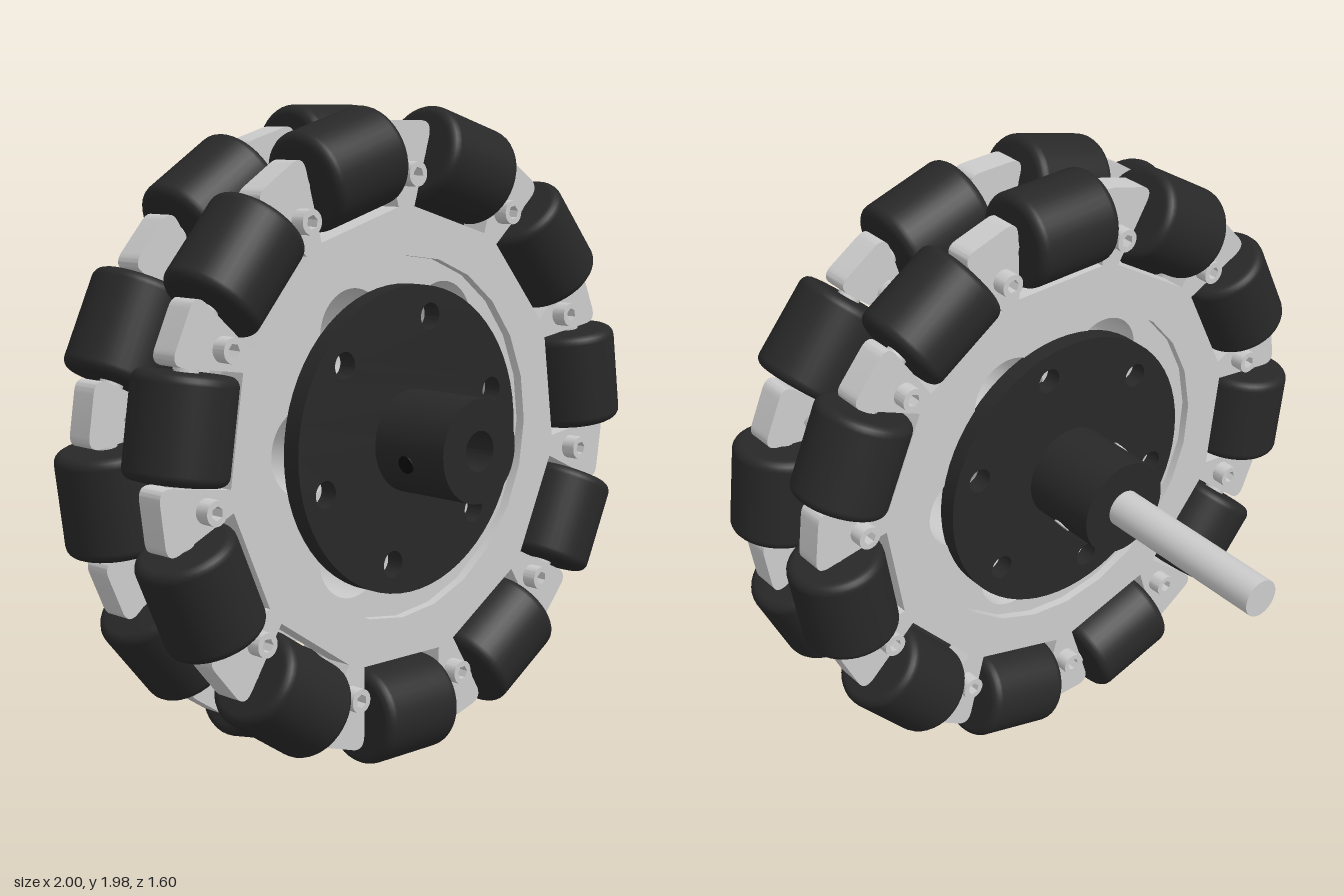
import * as THREE from 'three';
import { toCreasedNormals } from 'three/addons/utils/BufferGeometryUtils.js';

const COUNT = 11, STEP = (Math.PI * 2) / COUNT, HALF = STEP / 2;
const ROLLER_R = 0.15, ROLLER_ORBIT = 0.842, AXIS_Y = 0.992;
const grey = new THREE.MeshStandardMaterial({ color: 0xcccccc });
const black = new THREE.MeshStandardMaterial({ color: 0x282828 });
const dark = new THREE.MeshStandardMaterial({ color: 0x0c0c0c });

function mesh(name, geometry, material, parent) {
  const m = new THREE.Mesh(geometry, material);
  m.name = name;
  parent.add(m);
  return m;
}

const circle = (x, y, r, C = THREE.Path) => new C().absarc(x, y, r, 0, Math.PI * 2, false);
const polar = (r, a) => [r * Math.cos(a), r * Math.sin(a)];

// Six round holes on a circle around the axis
const sixHoles = (orbit, r, start) =>
  Array.from({ length: 6 }, (_, i) => circle(...polar(orbit, start + (i * Math.PI) / 3), r));

// Extrude a shape along z from z0 to z1
function slab(shape, z0, z1, segments = 32) {
  const g = new THREE.ExtrudeGeometry(shape, { depth: z1 - z0, bevelEnabled: false, curveSegments: segments });
  g.translate(0, 0, z0);
  return toCreasedNormals(g, 0.5);
}

// Ring plate with wedge-shaped, round-cornered arms between the roller notches
function plateShape() {
  const shape = new THREE.Shape();
  const notch = 0.163, tip = 0.945;
  const edge = (u) => (u * Math.sin(HALF) - notch) / Math.cos(HALF);
  const base = 0.7;
  for (let i = 0; i < COUNT; i++) {
    const a = Math.PI / 2 + i * STEP, c = Math.cos(a), s = Math.sin(a);
    const p = (u, w) => [u * c - w * s, u * s + w * c];
    const low = 0.675 * Math.cos(HALF) + notch * Math.sin(HALF);
    if (i === 0) shape.moveTo(...p(low, -edge(low)));
    else shape.lineTo(...p(low, -edge(low)));
    shape.lineTo(...p(base, -edge(base)));
    shape.lineTo(...p(tip - 0.05, -edge(tip - 0.05)));
    shape.quadraticCurveTo(...p(tip, -edge(tip)), ...p(tip, -edge(tip) + 0.05));
    shape.lineTo(...p(tip, edge(tip) - 0.05));
    shape.quadraticCurveTo(...p(tip, edge(tip)), ...p(tip - 0.05, edge(tip - 0.05)));
    shape.lineTo(...p(low, edge(low)));
  }
  shape.closePath();
  shape.holes.push(circle(0, 0, 0.55));
  return shape;
}

// Cylinder with filleted ends, turned around its own axle
function rollerGeometry() {
  const f = 0.03, h = 0.152, pts = [new THREE.Vector2(0, -h)];
  for (let i = 0; i <= 5; i++) {
    const a = (i / 5) * Math.PI / 2;
    pts.push(new THREE.Vector2(ROLLER_R - f + f * Math.sin(a), -h + f - f * Math.cos(a)));
  }
  for (let i = 6; i >= 0; i--) pts.push(new THREE.Vector2(pts[i].x, -pts[i].y));
  return new THREE.LatheGeometry(pts, 40);
}

// One row of rollers, its plate and its bolts, centred on z = 0
function rollerWheel(name) {
  const wheel = new THREE.Group();
  wheel.name = name;
  mesh('armPlate', slab(plateShape(), -0.045, 0.045, 12), grey, wheel);

  const roller = rollerGeometry();
  const axle = new THREE.CylinderGeometry(0.035, 0.035, 0.38, 16);
  const headShape = circle(0, 0, 0.037, THREE.Shape);
  headShape.holes.push(new THREE.Path(
    Array.from({ length: 6 }, (_, i) => new THREE.Vector2(...polar(0.021, (i * Math.PI) / 3)))));
  const head = slab(headShape, 0.045, 0.092, 12);
  const nut = new THREE.CylinderGeometry(0.04, 0.04, 0.04, 6).rotateX(Math.PI / 2);

  for (let i = 0; i < COUNT; i++) {
    const station = new THREE.Group();
    station.name = 'rollerStation';
    station.rotation.z = Math.PI / 2 + HALF + i * STEP;
    mesh('roller', roller, black, station).position.x = ROLLER_ORBIT;
    mesh('rollerAxle', axle, grey, station).position.x = ROLLER_ORBIT;

    const [x, y] = polar(0.79, -HALF);
    mesh('boltHead', head, grey, station).position.set(x, y, 0);
    mesh('boltNut', nut, grey, station).position.set(x, y, -0.06);
    wheel.add(station);
  }
  return wheel;
}

// Round mounting flange with a bored collar, pointing towards +z
function flangeHub(name, holeStart) {
  const hub = new THREE.Group();
  hub.name = name;
  const disc = circle(0, 0, 0.465, THREE.Shape);
  disc.holes.push(circle(0, 0, 0.06), ...sixHoles(0.375, 0.04, holeStart));
  mesh('flange', slab(disc, 0.17, 0.23), black, hub);
  const collar = circle(0, 0, 0.155, THREE.Shape);
  collar.holes.push(circle(0, 0, 0.06));
  mesh('collar', slab(collar, 0.23, 0.5), black, hub);
  return hub;
}

// Pair of set screws on opposite sides of a collar
function setScrews(parent, angle, z, material) {
  for (const a of [angle, angle + Math.PI]) {
    const g = new THREE.CylinderGeometry(0.028, 0.028, 0.03, 16).rotateZ(Math.PI / 2);
    const m = mesh('setScrew', g, material, parent);
    m.position.set(...polar(0.1425, a), z);
    m.rotation.z = a;
  }
}

export function createModel() {
  const model = new THREE.Group();
  model.name = 'doubleRollerWheel';
  const body = new THREE.Group();
  body.name = 'wheelAssembly';
  body.position.y = AXIS_Y;
  model.add(body);

  // Two roller rows, the back one turned by half a pitch
  const front = rollerWheel('frontWheel');
  front.position.z = 0.455;
  const back = rollerWheel('backWheel');
  back.position.z = 0.147;
  back.rotation.set(0, Math.PI, HALF);
  body.add(front, back);

  // Central drum with six lightening holes
  const drum = circle(0, 0, 0.55, THREE.Shape);
  drum.holes.push(circle(0, 0, 0.06), ...sixHoles(0.38, 0.133, 0));
  mesh('centreDrum', slab(drum, 0.13, 0.47), grey, body);

  // Flanged hubs on both faces
  const start = THREE.MathUtils.degToRad(78.5);
  const frontHub = flangeHub('frontHub', start);
  frontHub.position.z = 0.3;
  const backHub = flangeHub('backHub', Math.PI - start);
  backHub.position.z = 0.305;
  backHub.rotation.y = Math.PI;
  body.add(frontHub, backHub);
  setScrews(body, 0.27, 0.65, dark);
  setScrews(body, -0.64, -0.04, grey);

  // Drive shaft out of the back
  const shaft = new THREE.CylinderGeometry(0.06, 0.06, 1.1, 32).rotateX(Math.PI / 2);
  mesh('shaft', shaft, grey, body).position.z = -0.25;

  return model;
}
